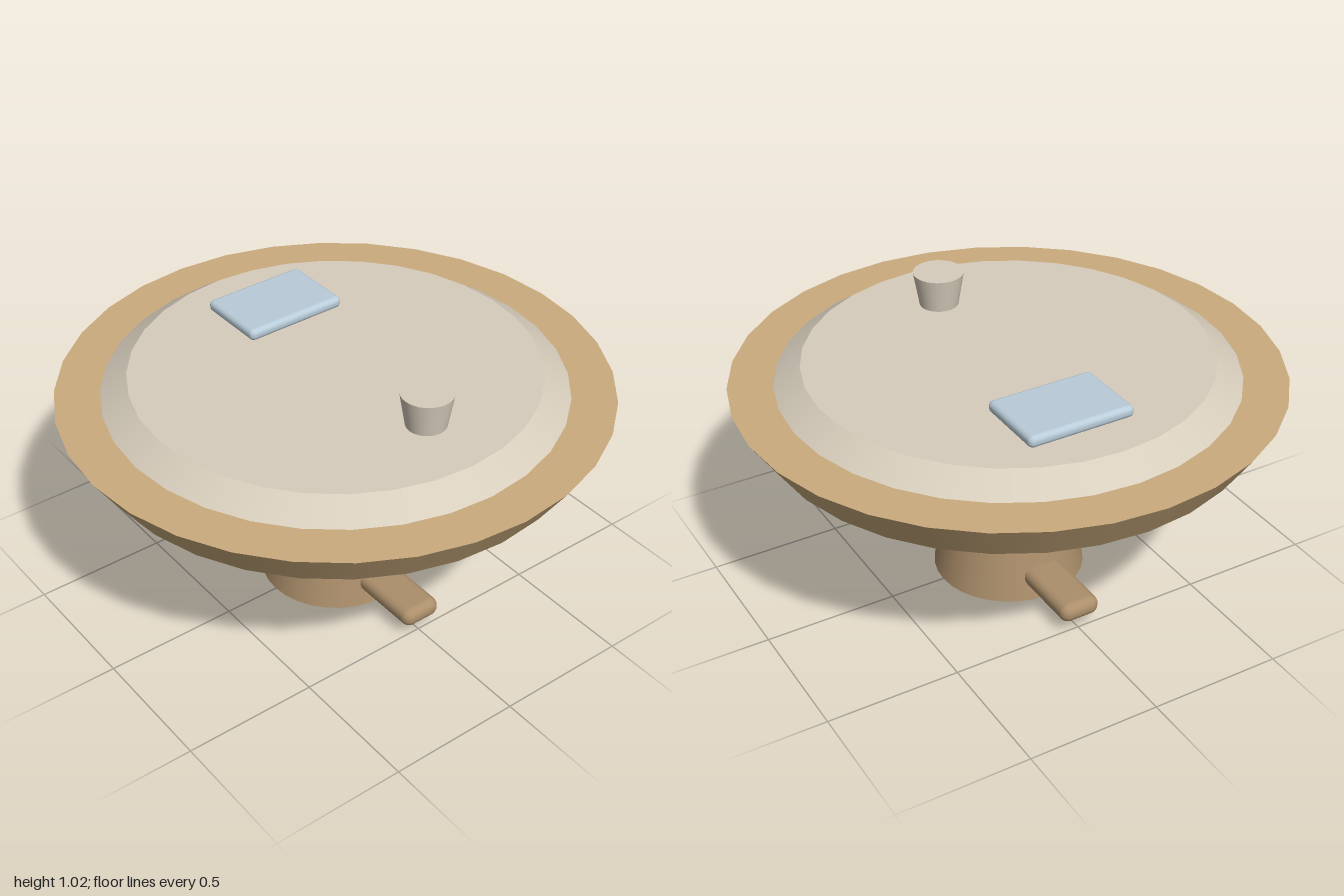
import * as THREE from 'three';
import { RoundedBoxGeometry } from 'three/addons/geometries/RoundedBoxGeometry.js';

const material = (name, color) => {
  const m = new THREE.MeshStandardMaterial({ color });
  m.name = name;
  return m;
};

export function createModel() {
  const table = new THREE.Group();
  table.name = 'roundTable';

  const lightWood = material('light wood', 0xcaab7d);
  const darkWood = material('dark wood', 0xac8f6b);
  const stone = material('pale stone', 0xd7cdbc);
  const blue = material('pale blue', 0xb9ccd9);

  const add = (name, geometry, mat, x, y, z) => {
    const mesh = new THREE.Mesh(geometry, mat);
    mesh.name = name;
    mesh.position.set(x, y, z);
    table.add(mesh);
  };
  // Tapered round part standing between two heights
  const taper = (name, rTop, rBottom, y0, y1, mat, x = 0, z = 0) =>
    add(name, new THREE.CylinderGeometry(rTop, rBottom, y1 - y0, 32), mat, x, (y0 + y1) / 2, z);

  // Pedestal and flared top with its raised inlay
  taper('pedestal', 0.148, 0.285, 0, 0.68, darkWood);
  taper('tableTop', 1, 0.9, 0.675, 0.828, lightWood);
  taper('inlay', 0.74, 0.84, 0.826, 0.895, stone);

  // Feet reaching out to both sides
  for (const side of [1, -1]) {
    add(side > 0 ? 'leftFoot' : 'rightFoot',
      new RoundedBoxGeometry(0.43, 0.075, 0.156, 4, 0.035), darkWood, side * 0.315, 0.0875, 0);
  }

  // Objects resting on the table
  add('book', new RoundedBoxGeometry(0.285, 0.045, 0.41, 4, 0.02), blue, -0.4425, 0.917, -0.055);
  taper('cup', 0.095, 0.073, 0.894, 1.025, stone, 0.465, -0.03);

  return table;
}
